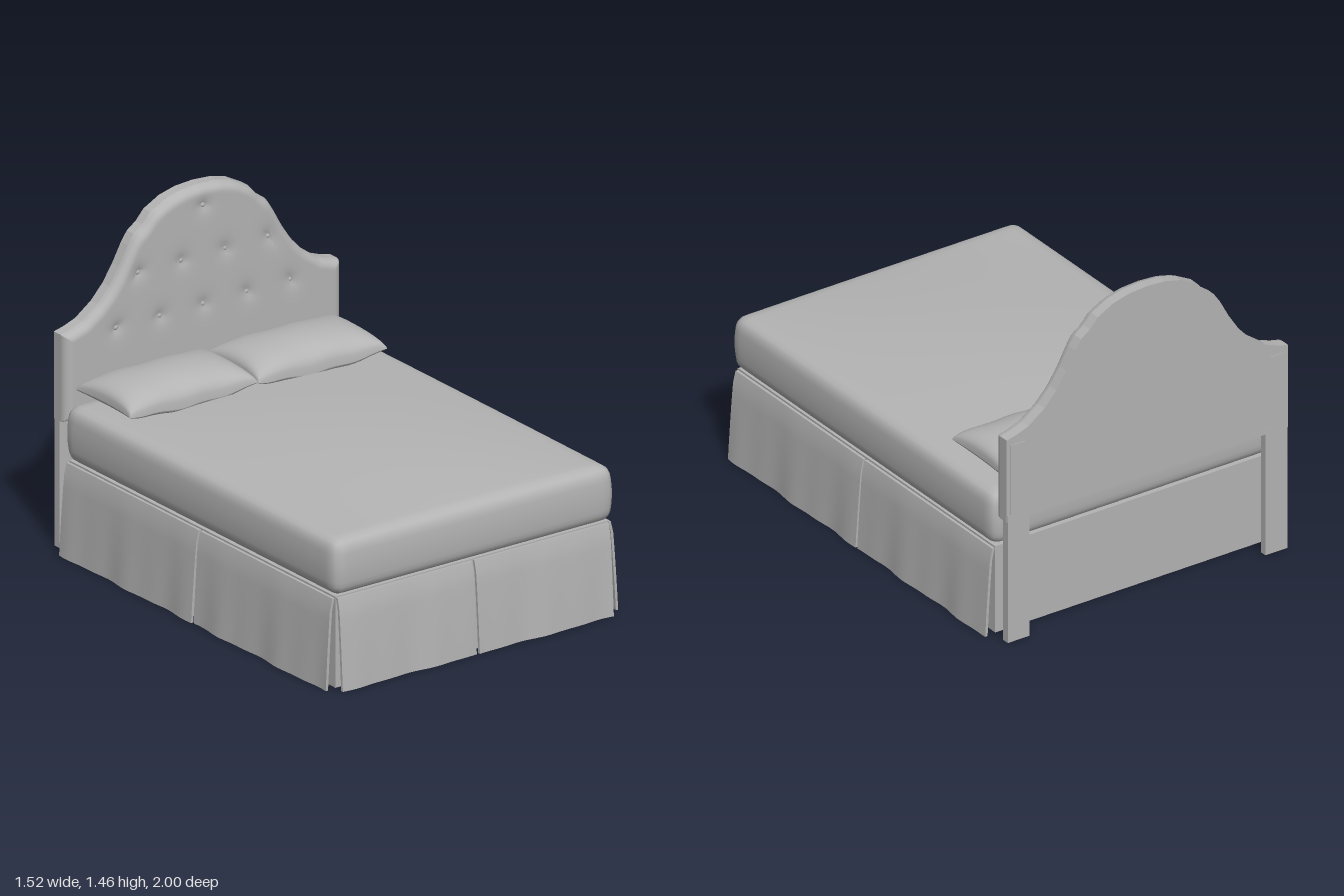
import * as THREE from 'three';
import { mergeVertices } from 'three/addons/utils/BufferGeometryUtils.js';
import { ParametricGeometry } from 'three/addons/geometries/ParametricGeometry.js';

const fabric = new THREE.MeshStandardMaterial({ color: 0xb4b4b4 });
fabric.name = 'grey fabric';

function add(parent, name, geometry, x = 0, y = 0, z = 0) {
  const mesh = new THREE.Mesh(geometry, fabric);
  mesh.name = name;
  mesh.position.set(x, y, z);
  parent.add(mesh);
  return mesh;
}

// Move every vertex of a geometry by a rule, then refresh the normals
function bend(geometry, rule) {
  const pos = geometry.attributes.position;
  const p = new THREE.Vector3();
  for (let i = 0; i < pos.count; i++) {
    p.fromBufferAttribute(pos, i);
    rule(p);
    pos.setXYZ(i, p.x, p.y, p.z);
  }
  geometry.computeVertexNormals();
  return geometry;
}

// ---- Mattress: rounded block with a crowned top and bulging sides
function mattressGeometry() {
  const half = new THREE.Vector3(0.71, 0.125, 0.935), r = 0.045;
  let g = new THREE.BoxGeometry(2 * half.x, 2 * half.y, 2 * half.z, 44, 12, 56);
  g.deleteAttribute('normal');
  g.deleteAttribute('uv');
  g = mergeVertices(g);
  const max = half.clone().subScalar(r), min = max.clone().negate();
  const inner = new THREE.Vector3();
  return bend(g, p => {
    inner.copy(p).clamp(min, max);
    p.sub(inner).setLength(r).add(inner);
    const u = p.x / half.x, v = p.y / half.y, w = p.z / half.z;
    const bulge = 0.013 * (1 - v * v);
    p.x += bulge * u ** 3;
    p.z += bulge * w ** 3;
    if (v > 0) p.y += 0.05 * v * (1 - u * u) * (1 - w * w);
  });
}

// ---- Skirt panel: thin cloth, flared towards the hem and gently waved
function skirtGeometry(length, phase) {
  const h = 0.405;
  return bend(new THREE.BoxGeometry(length, h, 0.012, 28, 8, 1), p => {
    const drop = THREE.MathUtils.clamp(0.5 - p.y / h, 0, 1);
    const wave = Math.sin(p.x * 15 + phase) + 0.5 * Math.sin(p.x * 31 + phase * 2);
    p.z += 0.03 * Math.pow(drop, 0.75) + 0.005 * drop * wave;
    if (drop < 0.05) p.z -= 0.006;
  });
}

// ---- Pillow: two puffed sheets meeting in a seam with pinched corners
function pillowSheet(side) {
  const g = new ParametricGeometry((a, b, t) => {
    const s = (a - 0.5) * Math.PI, q = (b - 0.5) * Math.PI;
    const u = Math.sin(s), v = Math.sin(q) * -side;
    const puff = Math.pow(Math.abs(Math.cos(s) * Math.cos(q)), 0.7);
    const seam = 0.025 * u * u + 0.004 * Math.sin(u * 9) * v * v;
    t.set(
      0.325 * u * (1 - 0.035 * (1 - v * v)),
      seam + puff * (side > 0 ? 0.12 : -0.03),
      0.195 * v * (1 - 0.05 * (1 - u * u))
    );
  }, 28, 20);
  g.computeVertexNormals();
  return g;
}

// ---- Headboard outline: half of the crest, from the middle outwards
const crest = [
  [0, 1.463], [0.09, 1.457], [0.17, 1.437], [0.25, 1.395], [0.29, 1.35], [0.335, 1.318],
  [0.365, 1.275], [0.41, 1.192], [0.46, 1.115], [0.52, 1.05], [0.6, 0.992], [0.66, 0.97], [0.71, 0.958]
];
const HALF = 0.71, BOTTOM = 0.57;

function crestHeight(x) {
  const ax = Math.min(Math.abs(x), HALF);
  let i = 1;
  while (i < crest.length - 1 && crest[i][0] < ax) i++;
  const [x0, y0] = crest[i - 1], [x1, y1] = crest[i];
  return y0 + (y1 - y0) * (ax - x0) / (x1 - x0);
}

// Tufting buttons in staggered rows
const buttons = [];
[[5, 0.935], [4, 1.155], [1, 1.375]].forEach(([n, y]) => {
  for (let i = 0; i < n; i++) buttons.push([(i - (n - 1) / 2) * 0.223, y]);
});

// Padded front: rolled edge and a dimple around each button
function paddedFront() {
  const roll = 0.04;
  const g = new ParametricGeometry((a, b, t) => {
    const x = HALF * Math.sin((a - 0.5) * Math.PI);
    const top = crestHeight(x);
    const k = 0.5 + 0.5 * Math.sin((b - 0.5) * Math.PI);
    const y = BOTTOM + (top - BOTTOM) * (0.5 * k + 0.5 * b);
    const slope = (crestHeight(x + 0.02) - crestHeight(x - 0.02)) / 0.04;
    const edge = Math.min(HALF - Math.abs(x), (top - y) / Math.hypot(1, slope), y - BOTTOM);
    const e = 1 - THREE.MathUtils.clamp(edge / roll, 0, 1);
    let z = -0.95 + 0.04 * Math.sqrt(1 - e * e);
    for (const [bx, by] of buttons) {
      const d = Math.hypot(x - bx, y - by);
      z -= 0.02 * Math.exp(-d / 0.022);
    }
    t.set(x, y, z);
  }, 96, 64);
  g.computeVertexNormals();
  return g;
}

function headboardCore() {
  const s = new THREE.Shape();
  s.moveTo(-HALF, BOTTOM);
  s.lineTo(HALF, BOTTOM);
  for (let i = crest.length - 1; i >= 0; i--) s.lineTo(crest[i][0], crest[i][1]);
  for (let i = 1; i < crest.length; i++) s.lineTo(-crest[i][0], crest[i][1]);
  s.closePath();
  return new THREE.ExtrudeGeometry(s, { depth: 0.047, bevelEnabled: false });
}

export function createModel() {
  const bed = new THREE.Group();
  bed.name = 'bed';

  // Base and mattress
  add(bed, 'boxBase', new THREE.BoxGeometry(1.4, 0.407, 1.85), 0, 0.2075, 0.025);
  add(bed, 'mattress', mattressGeometry(), 0, 0.535, 0.03);

  // Skirt: two panels on the front and two on each side
  const skirt = new THREE.Group();
  skirt.name = 'bedSkirt';
  bed.add(skirt);
  for (const s of [-1, 1]) {
    add(skirt, 'frontSkirtPanel', skirtGeometry(0.69, s), s * 0.351, 0.2025, 0.96);
    for (const [i, z] of [0.488, -0.441].entries()) {
      const panel = add(skirt, 'sideSkirtPanel', skirtGeometry(0.92, s + i * 2), s * 0.715, 0.2025, z);
      panel.rotation.y = s * Math.PI / 2;
    }
  }

  // Pillows
  for (const [x, z, turn] of [[-0.335, -0.72, -0.012], [0.318, -0.705, -0.025]]) {
    const pillow = new THREE.Group();
    pillow.name = 'pillow';
    add(pillow, 'pillowTop', pillowSheet(1));
    add(pillow, 'pillowBottom', pillowSheet(-1));
    pillow.position.set(x, 0.69, z);
    pillow.rotation.y = turn;
    bed.add(pillow);
  }

  // Headboard with buttons and legs
  const headboard = new THREE.Group();
  headboard.name = 'headboard';
  bed.add(headboard);
  add(headboard, 'headboardPadding', paddedFront());
  add(headboard, 'headboardBack', headboardCore(), 0, 0, -0.997);
  for (const [x, y] of buttons) {
    const button = add(headboard, 'button', new THREE.SphereGeometry(0.011, 12, 8), x, y, -0.925);
    button.scale.z = 0.7;
  }
  for (const s of [-1, 1]) {
    add(headboard, 'leg', new THREE.BoxGeometry(0.11, 0.6, 0.033), s * 0.65, 0.3, -0.9815);
    add(headboard, 'legMount', new THREE.BoxGeometry(0.07, 0.35, 0.012), s * 0.655, 0.755, -0.994);
  }
  return bed;
}
